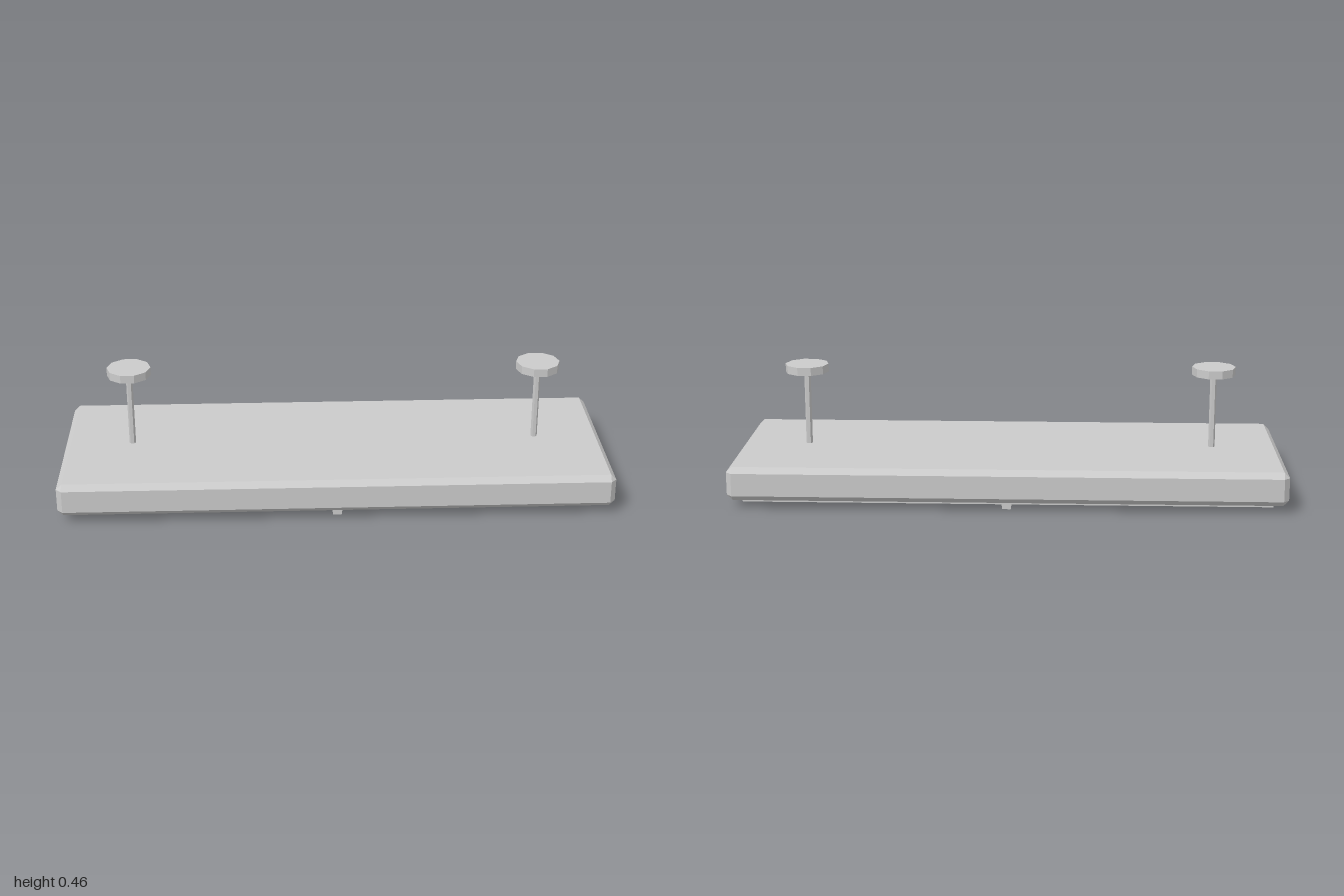
import * as THREE from 'three';
import { ConvexGeometry } from 'three/addons/geometries/ConvexGeometry.js';

const material = new THREE.MeshStandardMaterial({ color: 0xcccccc, flatShading: true });

function part(name, geometry, x = 0, y = 0, z = 0) {
  const mesh = new THREE.Mesh(geometry, material);
  mesh.name = name;
  mesh.position.set(x, y, z);
  return mesh;
}

// Box with every edge cut at 45 degrees, from half sizes and chamfer width
function chamferedBox(hx, hy, hz, c) {
  const points = [];
  for (const sx of [-1, 1]) for (const sy of [-1, 1]) for (const sz of [-1, 1]) {
    points.push(
      new THREE.Vector3(sx * hx, sy * (hy - c), sz * (hz - c)),
      new THREE.Vector3(sx * (hx - c), sy * hy, sz * (hz - c)),
      new THREE.Vector3(sx * (hx - c), sy * (hy - c), sz * hz)
    );
  }
  return new ConvexGeometry(points);
}

// Low-poly cylinder with a corner on the x axis, standing between two heights
function post(name, radius, sides, y0, y1, x) {
  const geometry = new THREE.CylinderGeometry(radius, radius, y1 - y0, sides);
  geometry.rotateY(Math.PI / 2);
  return part(name, geometry, x, (y0 + y1) / 2);
}

export function createModel() {
  const model = new THREE.Group();
  model.name = 'hangingLamp';

  // Housing and the panel beneath it
  model.add(part('housing', chamferedBox(1, 0.0615, 0.35, 0.02), 0, 0.0915));
  model.add(part('lowerPanel', new THREE.BoxGeometry(1.9, 0.02, 0.6), 0, 0.025));

  // Tapered bar across the middle of the panel
  const bar = new THREE.Shape([
    new THREE.Vector2(-0.015, 0), new THREE.Vector2(0.015, 0),
    new THREE.Vector2(0.02, 0.03), new THREE.Vector2(-0.02, 0.03)
  ]);
  model.add(part('centreBar',
    new THREE.ExtrudeGeometry(bar, { depth: 0.62, bevelEnabled: false }), 0, 0, -0.31));

  // Two hanging rods with ceiling mounts
  for (const [side, x] of [['left', 0.75], ['right', -0.75]]) {
    const hanger = new THREE.Group();
    hanger.name = side + 'Hanger';
    hanger.add(post('rod', 0.012, 6, 0.15, 0.43, x));
    hanger.add(post('ceilingMount', 0.08, 10, 0.427, 0.457, x));
    model.add(hanger);
  }
  return model;
}
